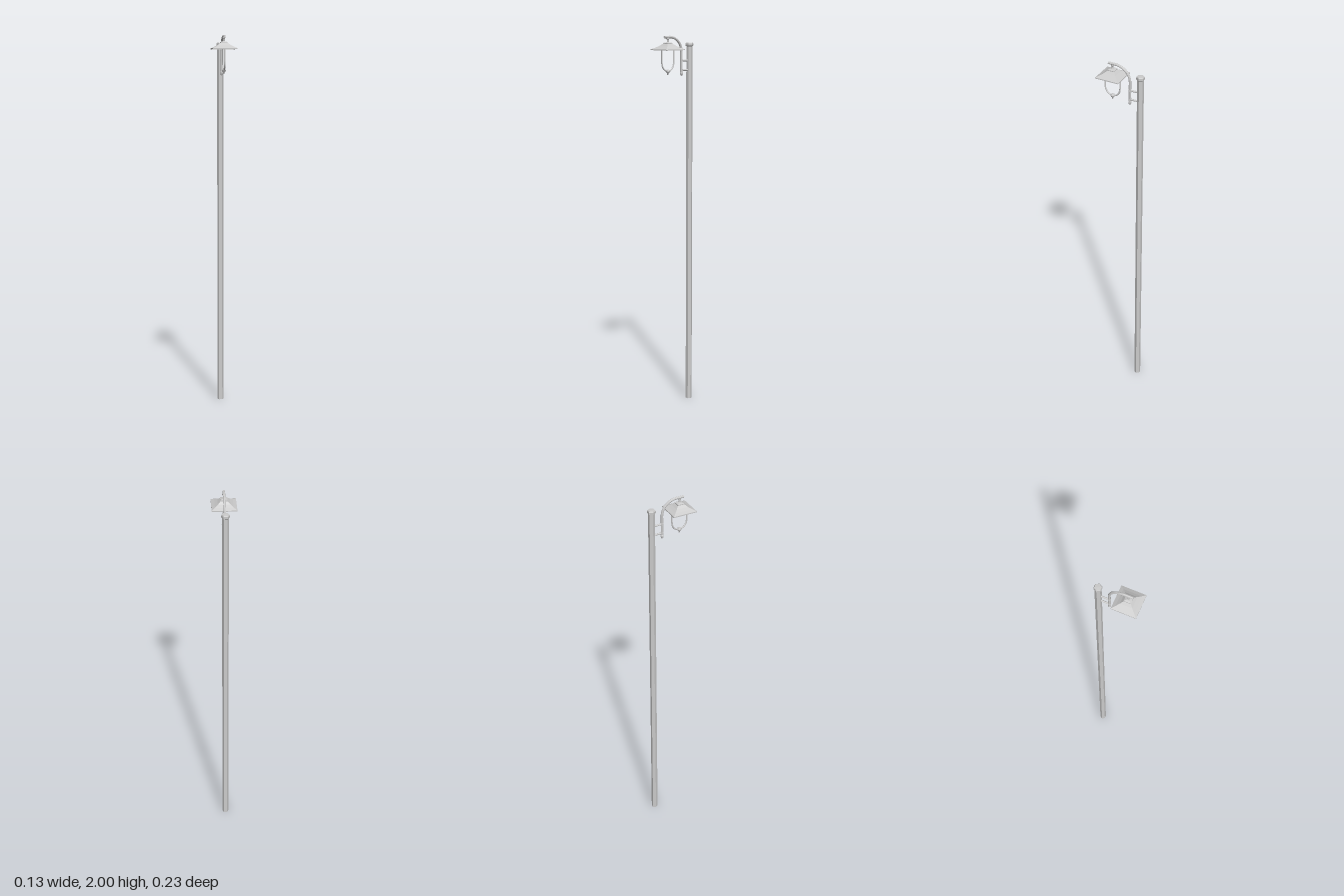
import * as THREE from 'three';

const POLE_Z = -0.1, ARM_Z = -0.043, LAMP_Z = 0.053;

export function createModel() {
  const model = new THREE.Group();
  const material = new THREE.MeshStandardMaterial({ color: 0xcccccc, flatShading: true });
  const thin = material.clone();
  thin.side = THREE.DoubleSide;

  function add(name, geometry, x, y, z, mat = material) {
    const mesh = new THREE.Mesh(geometry, mat);
    mesh.name = name;
    mesh.position.set(x, y, z);
    model.add(mesh);
    return mesh;
  }
  const points = (list) => list.map(([r, y]) => new THREE.Vector2(r, y));
  // Upright turned part with a few flat sides, corners on the x axis
  const turned = (profile, sides) => new THREE.LatheGeometry(points(profile), sides, Math.PI / 2);
  // Four-sided part: half widths become corner radii
  const square = (profile) => new THREE.LatheGeometry(
    points(profile.map(([w, y]) => [w * Math.SQRT2, y])), 4, Math.PI / 4);

  // Hexagonal pole with a slightly wider cap
  add('pole', turned([[0, 0], [0.017, 0], [0.017, 1.95]], 6), 0, 0, POLE_Z);
  add('poleCap', turned([[0.017, 1.943], [0.021, 1.946], [0.021, 1.957], [0.018, 1.962], [0, 1.963]], 6), 0, 0, POLE_Z);

  // Curved arm: upright, quarter bend, short level end
  const armPath = new THREE.CurvePath();
  const v = (y, z) => new THREE.Vector3(0, y, z);
  armPath.add(new THREE.LineCurve3(v(1.8, ARM_Z), v(1.915, ARM_Z)));
  armPath.add(new THREE.CubicBezierCurve3(v(1.915, ARM_Z), v(1.96, ARM_Z), v(1.993, -0.005), v(1.993, 0.04)));
  armPath.add(new THREE.LineCurve3(v(1.993, 0.04), v(1.993, 0.076)));
  add('arm', new THREE.TubeGeometry(armPath, 40, 0.0065, 8, false), 0, 0, 0, thin);
  const endCap = add('armEnd', new THREE.CircleGeometry(0.0065, 8), 0, 1.993, 0.076);
  endCap.rotation.z = Math.PI / 8;
  add('armFoot', turned([[0, 1.79], [0.005, 1.793], [0.008, 1.8], [0.008, 1.808], [0.006, 1.812]], 8), 0, 0, ARM_Z);

  // Two struts joining the arm to the pole
  for (const y of [1.87, 1.82]) {
    const strut = add('strut', new THREE.CylinderGeometry(0.005, 0.005, 0.05, 8), 0, y, -0.066);
    strut.rotation.x = Math.PI / 2;
    add('strutCollar', new THREE.CylinderGeometry(0.0085, 0.0085, 0.012, 8), 0, y, ARM_Z);
  }

  // Hanger between arm and shade
  add('hanger', turned([[0.009, 1.962], [0.005, 1.968], [0.005, 1.98], [0.0085, 1.984], [0.0085, 1.99]], 8), 0, 0, LAMP_Z);

  // Square flared shade with a rim and a hollow underside
  add('shade', square([
    [0, 1.94], [0.04, 1.936], [0.058, 1.929], [0.058, 1.926], [0.063, 1.926], [0.063, 1.931],
    [0.046, 1.939], [0.031, 1.948], [0.018, 1.959], [0.018, 1.963], [0.009, 1.966], [0, 1.967],
  ]), 0, 0, LAMP_Z, thin);

  // U-shaped frame hanging below the shade
  const framePath = new THREE.CurvePath();
  const w = 0.041;
  framePath.add(new THREE.LineCurve3(v(1.935, -w), v(1.865, -w)));
  framePath.add(new THREE.CubicBezierCurve3(v(1.865, -w), v(1.837, -w), v(1.818, -0.025), v(1.818, 0)));
  framePath.add(new THREE.CubicBezierCurve3(v(1.818, 0), v(1.818, 0.025), v(1.837, w), v(1.865, w)));
  framePath.add(new THREE.LineCurve3(v(1.865, w), v(1.935, w)));
  add('lampFrame', new THREE.TubeGeometry(framePath, 48, 0.0042, 6, false), 0, 0, LAMP_Z, thin);

  // Finial under the frame
  add('finial', turned([
    [0, 1.797], [0.004, 1.8], [0.004, 1.806], [0.009, 1.811], [0.011, 1.818], [0.008, 1.825], [0, 1.827],
  ], 8), 0, 0, LAMP_Z);

  return model;
}
